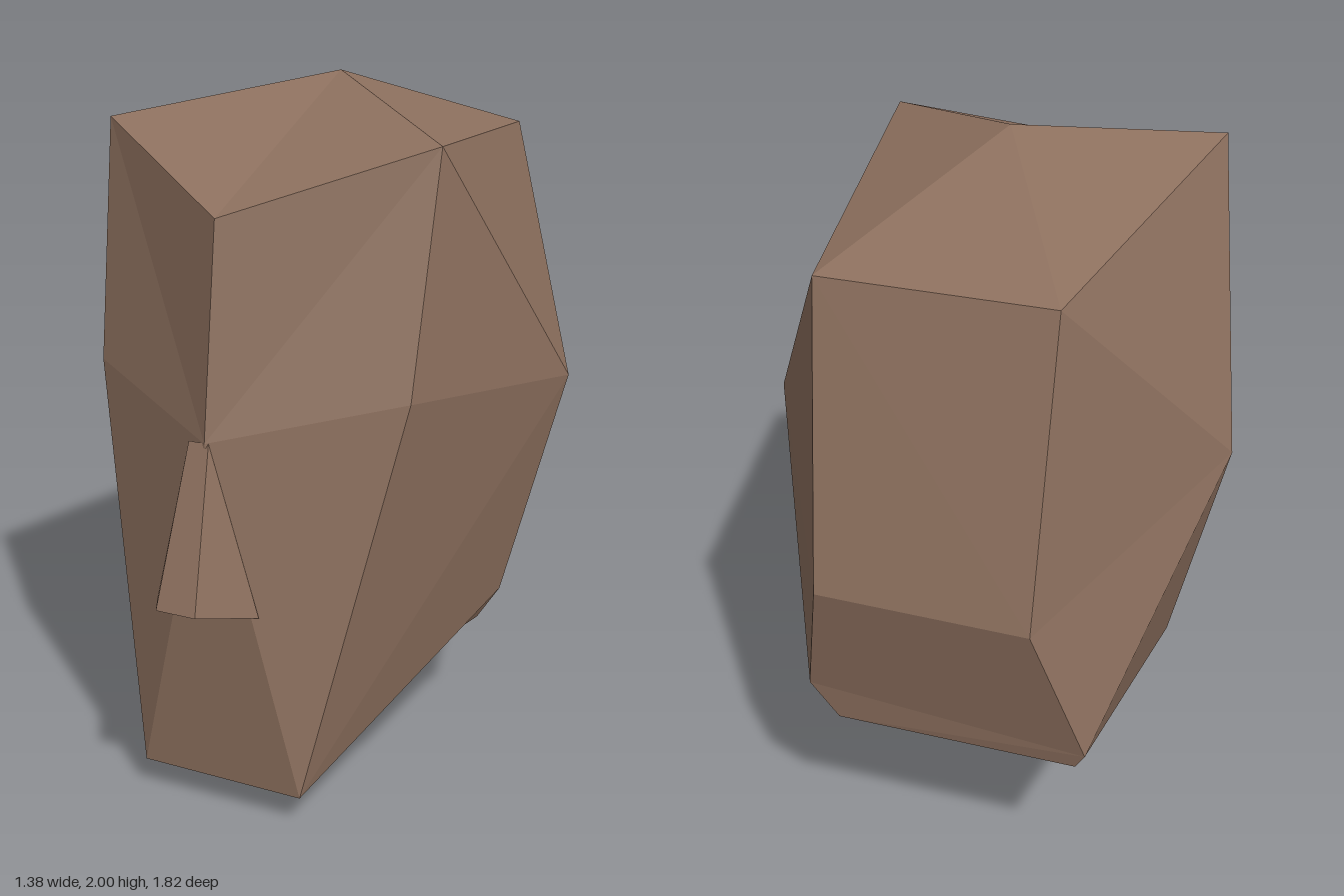
import * as THREE from 'three';
import { ConvexGeometry } from 'three/addons/geometries/ConvexGeometry.js';

// Double-sided because the neck is open
const skin = new THREE.MeshStandardMaterial({ color: 0x8d705e, flatShading: true, side: THREE.DoubleSide });
skin.name = 'brown skin';

// Loops run from the front centre through the left side, back and right side.
const crown = [0, 2, -0.06];
const brow = [0, 1.71, 0.69];
const templeL = [0.49, 1.88, 0.35];
const templeR = [-0.52, 1.89, 0.36];
const browLoop = [brow, templeL, templeL, [0.32, 1.78, -0.7], [-0.34, 1.78, -0.7], templeR, templeR];
const cheekLoop = [
  [0, 1.12, 0.77], [0.48, 1.22, 0.51], [0.69, 1.14, -0.17], [0.28, 0.94, -0.9],
  [-0.33, 0.94, -0.91], [-0.69, 1.15, -0.17], [-0.48, 1.22, 0.51],
];
const jawLoop = [
  [0, 0.09, 0.72], [0.25, 0.09, 0.72], [0.53, 0.46, -0.08], [0.35, 0.57, -0.82],
  [-0.46, 0.51, -0.82], [-0.51, 0.44, -0.08], [-0.25, 0.09, 0.72],
];
const neckRim = [[0.46, 0.35, -0.08], [0.27, 0.46, -0.81], [-0.43, 0.46, -0.81], [-0.43, 0.34, -0.08]];
const chinTip = [-0.01, 0, 0.43];
const throat = [-0.03, 0.12, 0.18];

function buildHead() {
  const tris = [];
  const tri = (a, b, c) => {
    if (a !== b && b !== c && a !== c) tris.push(...a, ...b, ...c);
  };
  // Band between two loops; "flipped" lists the quads split along the other diagonal
  const wall = (up, low, count, flipped) => {
    for (let i = 0; i < count; i++) {
      const j = (i + 1) % up.length;
      if (flipped.includes(i)) {
        tri(up[i], low[i], low[j]);
        tri(up[i], low[j], up[j]);
      } else {
        tri(up[i], low[i], up[j]);
        tri(up[j], low[i], low[j]);
      }
    }
  };

  // Skull cap
  browLoop.forEach((p, i) => tri(crown, p, browLoop[(i + 1) % browLoop.length]));

  // Skull, face and jaw, then the lip around the open neck
  wall(browLoop, cheekLoop, 7, [3, 4, 5, 6]);
  wall(cheekLoop, jawLoop, 7, [0, 2, 5]);
  wall(jawLoop.slice(2, 6), neckRim, 3, [2]);

  // Underside of the chin
  const [chin, chinL, jawL, , , jawR, chinR] = jawLoop;
  const under = [chin, chinL, jawL, neckRim[0], throat, neckRim[3], jawR, chinR];
  under.forEach((p, i) => tri(chinTip, under[(i + 1) % under.length], p));

  const geo = new THREE.BufferGeometry();
  geo.setAttribute('position', new THREE.Float32BufferAttribute(tris, 3));
  geo.computeVertexNormals();
  return geo;
}

function buildNose() {
  // Half outline, mirrored about the nose's own centre line
  const pts = [];
  for (const s of [1, -1]) {
    for (const [x, y, z] of [[0.03, 1.12, 0.765], [0.06, 0.68, 0.91], [0.16, 0.63, 0.74], [0.02, 1.1, 0.74]]) {
      pts.push(new THREE.Vector3(s * x - 0.02, y, z));
    }
  }
  return new ConvexGeometry(pts);
}

export function createModel() {
  const group = new THREE.Group();
  group.name = 'lowPolyHead';
  const head = new THREE.Mesh(buildHead(), skin);
  head.name = 'head';
  const nose = new THREE.Mesh(buildNose(), skin);
  nose.name = 'nose';
  group.add(head, nose);
  return group;
}
